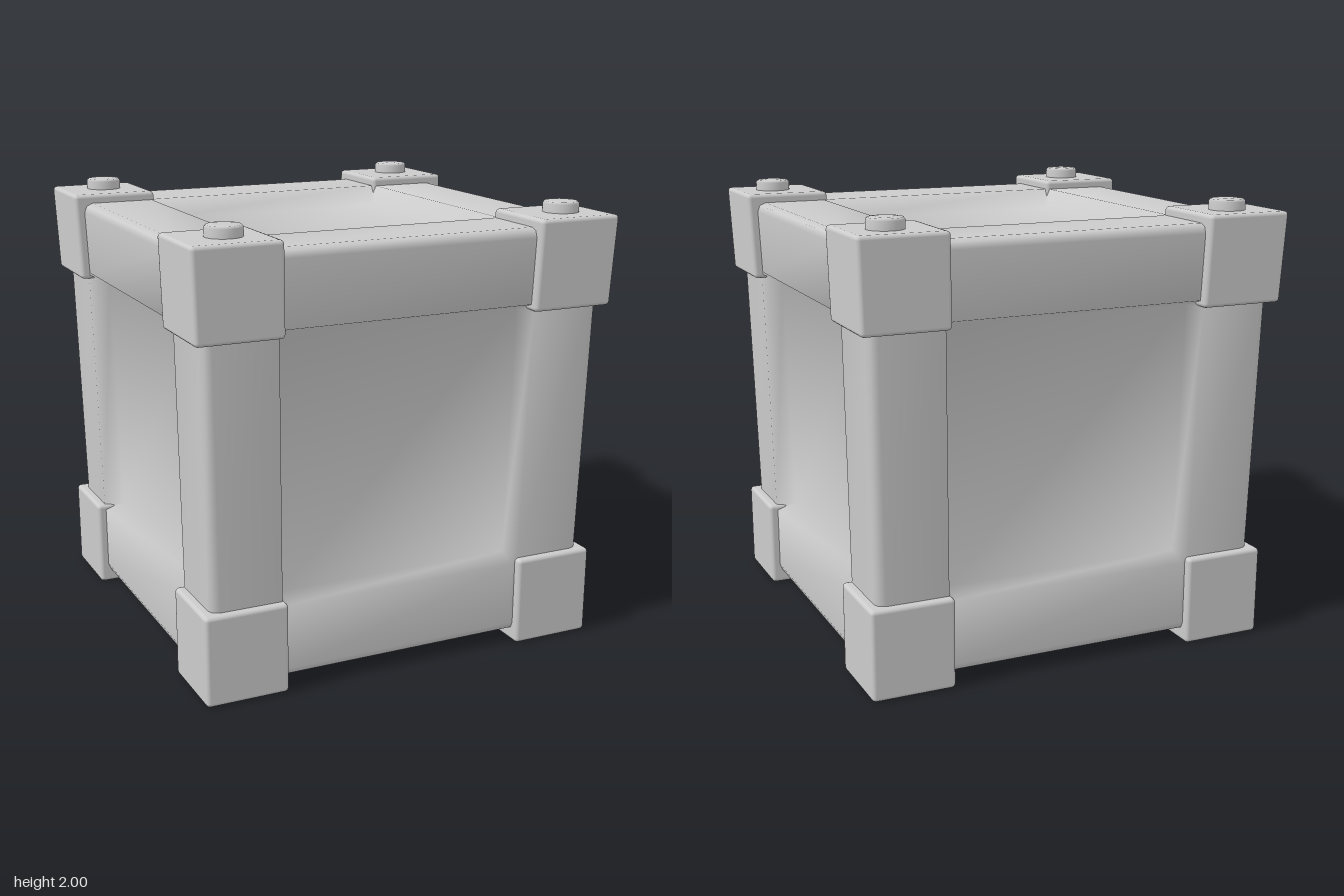
import * as THREE from 'three';
import { mergeVertices } from 'three/addons/utils/BufferGeometryUtils.js';
import { RoundedBoxGeometry } from 'three/addons/geometries/RoundedBoxGeometry.js';

const grey = new THREE.MeshStandardMaterial({ color: 0xcccccc });

// the whole crate flares gently towards the top
const flare = (y) => 1 + 0.0125 * y * y;

// body: a box whose six faces carry raised rims around a sunken panel
function bodyGeometry() {
  const levels = [-0.9, -0.86, -0.58, -0.55, 0.55, 0.58, 0.86, 0.9];
  const box = new THREE.BoxGeometry(2, 2, 2, 7, 7, 7);
  box.deleteAttribute('uv');
  box.deleteAttribute('normal');
  const geo = mergeVertices(box, 1e-4);
  const pos = geo.attributes.position;
  const panelCorners = [];
  for (let n = 0; n < pos.count; n++) {
    const idx = [pos.getX(n), pos.getY(n), pos.getZ(n)].map((c) => Math.round((c + 1) * 3.5));
    const outer = idx.map((i) => i === 0 || i === 7);
    const outerCount = outer.filter(Boolean).length;
    const sunken = outerCount === 1 && idx.every((i, a) => outer[a] || i === 3 || i === 4);
    const inset = sunken ? 0.09 : outerCount > 1 ? 0.012 : 0;
    const p = idx.map((i, a) => levels[i] - (outer[a] ? Math.sign(levels[i]) * inset : 0));
    if (sunken) panelCorners.push([n, ...p.map((v, a) => (outer[a] ? 0 : v))]);
    const y = 0.98 + p[1] * 1.033;
    pos.setXYZ(n, p[0] * flare(y), y, p[2] * flare(y));
  }
  geo.computeVertexNormals();
  // lean the panel corner normals inwards so rim and panel blend softly
  const nor = geo.attributes.normal;
  for (const [n, x, y, z] of panelCorners) {
    const v = new THREE.Vector3().fromBufferAttribute(nor, n);
    v.addScaledVector(new THREE.Vector3(x, y, z), -0.5).normalize();
    nor.setXYZ(n, v.x, v.y, v.z);
  }
  return geo;
}

// corner block, placed in the unflared frame and then flared
function blockGeometry(sx, sz, y0, y1) {
  const geo = new RoundedBoxGeometry(0.375, y1 - y0, 0.375, 2, 0.018);
  geo.translate(sx * 0.7525, (y0 + y1) / 2, sz * 0.7485);
  const pos = geo.attributes.position;
  for (let n = 0; n < pos.count; n++) {
    const f = flare(pos.getY(n));
    pos.setX(n, pos.getX(n) * f);
    pos.setZ(n, pos.getZ(n) * f);
  }
  return geo;
}

// low round stud with a softened rim
function studGeometry() {
  const profile = [[0.08, -0.02], [0.08, 0.038], [0.072, 0.047], [0.045, 0.05], [0, 0.05]];
  return new THREE.LatheGeometry(profile.map(([r, y]) => new THREE.Vector2(r, y)), 28);
}

export function createModel() {
  const model = new THREE.Group();
  model.name = 'crate';
  const add = (geometry, name) => {
    const mesh = new THREE.Mesh(geometry, grey);
    mesh.name = name;
    model.add(mesh);
    return mesh;
  };

  add(bodyGeometry(), 'crateBody');

  const stud = studGeometry();
  for (const sx of [-1, 1]) {
    for (const sz of [-1, 1]) {
      const side = (sz > 0 ? 'Front' : 'Back') + (sx > 0 ? 'Left' : 'Right');
      add(blockGeometry(sx, sz, 0, 0.405), 'bottomBlock' + side);
      add(blockGeometry(sx, sz, 1.55, 1.95), 'topBlock' + side);
      add(stud, 'stud' + side).position.set(0.015 + sx * 0.79, 1.95, -0.01 + sz * 0.8);
    }
  }
  return model;
}
